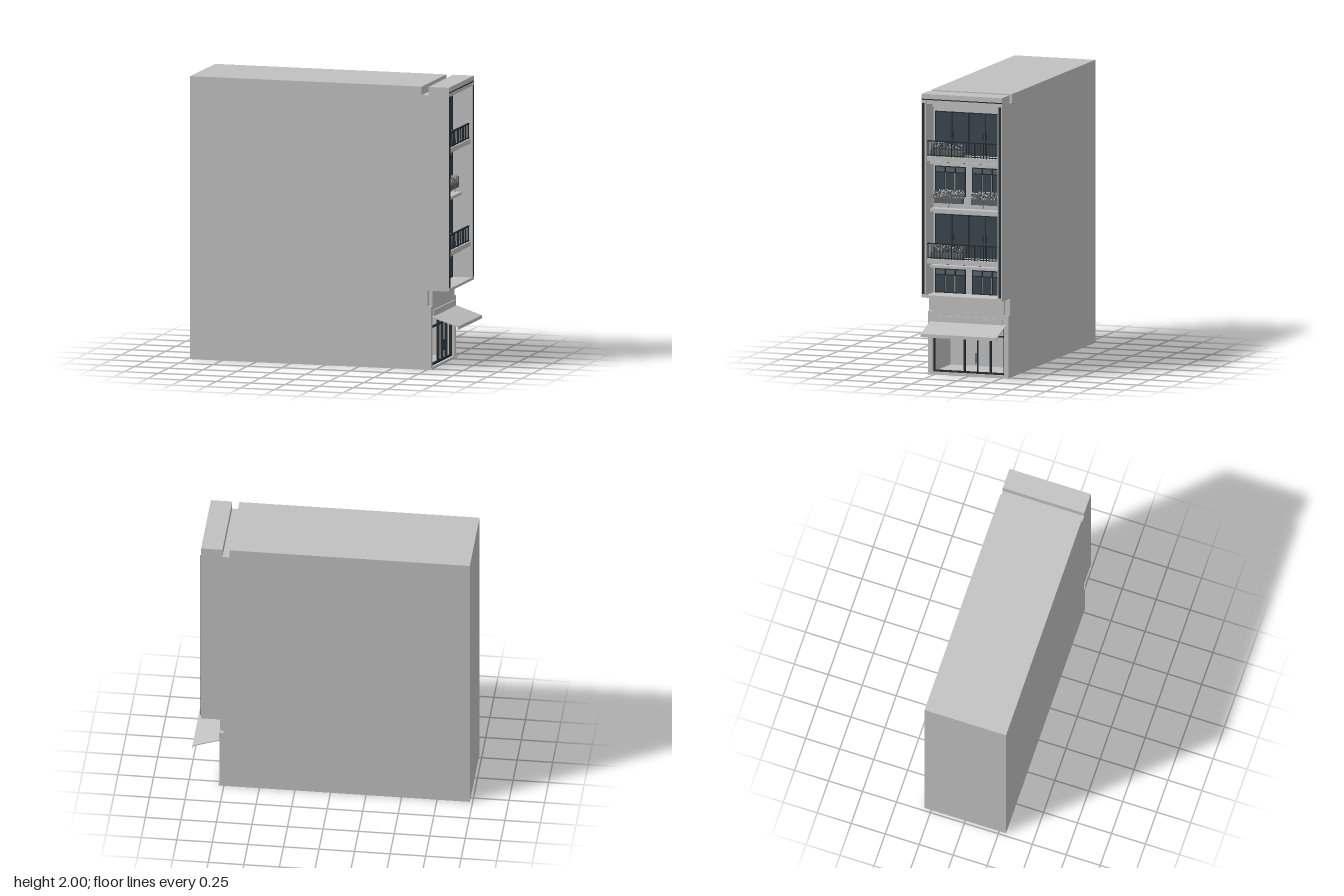
import * as THREE from 'three';
import { mergeGeometries } from 'three/addons/utils/BufferGeometryUtils.js';

const mat = (name, color) => {
  const m = new THREE.MeshStandardMaterial({ color });
  m.name = name;
  return m;
};

export function createModel() {
  const wall = mat('wall grey', 0xc0c0c0);
  const glass = mat('dark glass', 0x37444c);
  const transom = mat('transom glass', 0x59636a);
  const frame = mat('dark frame', 0x1f282d);
  const planter = mat('planter grey', 0x5c6064);
  const petal = mat('pale flower', 0xb4b4b0);

  const root = new THREE.Group();
  root.name = 'townhouse';
  let seed = 7;
  const rnd = () => (seed = (seed * 16807) % 2147483647) / 2147483647;

  // Box geometry from its limits on each axis
  const box = (x0, x1, y0, y1, z0, z1) =>
    new THREE.BoxGeometry(x1 - x0, y1 - y0, z1 - z0)
      .translate((x0 + x1) / 2, (y0 + y1) / 2, (z0 + z1) / 2);
  const add = (name, material, geos, parent = root) => {
    const mesh = new THREE.Mesh(geos.length > 1 ? mergeGeometries(geos) : geos[0], material);
    mesh.name = name;
    parent.add(mesh);
    return mesh;
  };
  const group = (name) => {
    const g = new THREE.Group();
    g.name = name;
    root.add(g);
    return g;
  };
  const slice = (pts, z0, z1) =>
    new THREE.ExtrudeGeometry(new THREE.Shape(pts.map((p) => new THREE.Vector2(...p))),
      { depth: z1 - z0, bevelEnabled: false }).translate(0, 0, z0);

  // Main shell: party walls on both sides, core with facade recess and shop room
  const side = [[-0.98, 0], [0.78, 0], [0.78, 0.445], [0.752, 0.445], [0.752, 0.56], [0.91, 0.56],
    [0.91, 2], [0.76, 2], [0.76, 1.94], [0.71, 1.94], [0.71, 2], [-0.98, 2]];
  const core = [[-0.98, 0], [0.78, 0], [0.78, 0.018], [0.42, 0.018], [0.42, 0.36], [0.78, 0.36],
    [0.78, 0.56], [0.91, 0.56], [0.91, 0.578], [0.76, 0.578], [0.76, 1.93], [0.905, 1.93],
    [0.905, 1.963], [0.91, 1.963], [0.91, 2], [0.76, 2], [0.76, 1.94], [0.71, 1.94], [0.71, 2], [-0.98, 2]];
  add('shell', wall, [slice(side, 0.265, 0.3), slice(core, -0.265, 0.265), slice(side, -0.3, -0.265)]);
  add('plinth', wall, [-1, 1].map((s) => box(0.77, 0.787, 0, 0.014, s * 0.28 - 0.02, s * 0.28 + 0.02)));
  add('parapetLine', frame, [box(0.908, 0.912, 1.959, 1.966, -0.3, 0.3)]);
  add('edgeStrips', frame, [-1, 1].map((s) => box(0.907, 0.914, 0.585, 1.935, s * 0.285 - 0.009, s * 0.285 + 0.009)));

  // Balcony slabs and cornices across the recess
  add('balconySlabs', wall, [1.525, 0.8].map((y) => box(0.755, 0.895, y, y + 0.033, -0.265, 0.265)));
  add('cornices', wall, [[1.494, 1.512, 0.83], [1.16, 1.18, 0.83], [0.762, 0.78, 0.83], [1.895, 1.93, 0.78]]
    .map(([a, b, x]) => box(0.755, x, a, b, -0.265, 0.265)));
  const spots = [];
  for (const [y, x] of [[1.93, 0.84], [1.525, 0.86], [0.8, 0.86]])
    for (const z of [-0.12, 0, 0.12])
      spots.push(new THREE.CylinderGeometry(0.01, 0.01, 0.008, 12).translate(x, y - 0.003, z));
  add('ceilingSpots', frame, spots);

  // A small leafy row of flowers between two z limits
  const flowers = (parent, x, y, z0, z1, count, h) => {
    const heads = [], stems = [];
    for (let i = 0; i < count; i++) {
      const z = z0 + (z1 - z0) * rnd(), hy = h * (0.3 + 0.7 * rnd()), px = x + (rnd() - 0.5) * 0.035;
      heads.push(new THREE.IcosahedronGeometry(0.0035 + 0.003 * rnd(), 0).translate(px, y + hy, z));
      stems.push(box(px - 0.001, px + 0.001, y, y + hy, z - 0.001, z + 0.001));
    }
    add('flowerHeads', petal, heads, parent);
    add('flowerStems', planter, stems, parent);
  };

  // Two balcony floors: glazed doors, railing, planter
  for (const y of [1.558, 0.833]) {
    const g = group('balcony');
    const top = y + 0.304;
    add('doorGlass', glass, [box(0.758, 0.766, y, top, -0.25, 0.25)], g);
    const bars = [box(0.758, 0.772, top - 0.006, top, -0.25, 0.25)];
    for (const z of [-0.247, -0.125, 0, 0.125, 0.247]) bars.push(box(0.758, 0.771, y, top, z - 0.003, z + 0.003));
    for (const z of [-0.135, -0.11, 0.11, 0.135]) bars.push(box(0.771, 0.78, y + 0.12, y + 0.165, z - 0.002, z + 0.002));
    add('doorFrames', frame, bars, g);
    const rail = [box(0.876, 0.89, y + 0.105, y + 0.112, -0.265, 0.265), box(0.88, 0.887, y + 0.006, y + 0.012, -0.265, 0.265)];
    for (let i = 0; i <= 24; i++) {
      const z = -0.26 + (i * 0.52) / 24, w = i % 4 ? 0.0015 : 0.003;
      rail.push(box(0.882 - w, 0.882 + w, y, y + 0.107, z - w, z + w));
    }
    add('railing', frame, rail, g);
    add('planterBox', planter, [box(0.83, 0.872, y, y + 0.04, 0.005, 0.25)], g);
    flowers(g, 0.85, y + 0.038, 0.005, 0.25, 80, 0.062);
  }

  // Paired three-pane windows; the upper pair carries flower boxes
  for (const [y0, y1, boxed] of [[1.265, 1.475, true], [0.58, 0.75, false]]) {
    for (const s of [-1, 1]) {
      const g = group('window');
      const c = s * 0.1375, h = 0.1125, split = y1 - 0.042;
      add('paneGlass', glass, [box(0.758, 0.766, y0, split, c - h, c + h)], g);
      add('transomGlass', transom, [box(0.758, 0.766, split, y1, c - h, c + h)], g);
      const bars = [y0 + 0.003, split, y1 - 0.003].map((y) => box(0.758, 0.773, y - 0.003, y + 0.003, c - h, c + h));
      for (const z of [-h + 0.003, -0.0365, 0.0365, h - 0.003])
        bars.push(box(0.758, 0.772, y0, y1, c + z - 0.004, c + z + 0.004));
      add('windowFrame', frame, bars, g);
      add('paleBeads', wall, [-0.0365, 0.0365].map((z) => box(0.77, 0.774, y0 + 0.01, split - 0.004, c + z - 0.002, c + z + 0.002)), g);
      if (!boxed) continue;
      add('flowerBox', planter, [box(0.775, 0.82, 1.22, 1.256, c - 0.103, c + 0.103)], g);
      flowers(g, 0.8, 1.252, c - 0.11, c + 0.11, 85, 0.06);
      const vine = new THREE.CatmullRomCurve3([[0.815, 1.255, 0], [0.828, 1.24, 0.004], [0.826, 1.215, -0.004], [0.824, 1.195, 0.006]]
        .map(([x, y, z]) => new THREE.Vector3(x, y, c + z - s * 0.01)));
      add('vine', planter, [new THREE.TubeGeometry(vine, 10, 0.002, 5)], g);
    }
  }

  // Sloping awning with a drop lip, under a shallow box housing
  add('awningHousing', wall, [box(0.775, 0.79, 0.375, 0.418, -0.26, 0.26)]);
  add('awning', wall, [slice([[0.778, 0.37], [0.968, 0.307], [0.968, 0.29], [0.973, 0.29], [0.973, 0.313], [0.778, 0.377]], -0.283, 0.283)]);

  // Shopfront frame: posts, rails and door handles
  const shop = [box(0.74, 0.76, 0.018, 0.03, -0.262, 0.262), box(0.74, 0.76, 0.283, 0.291, -0.262, 0.262),
    box(0.74, 0.76, 0.352, 0.36, -0.262, 0.262)];
  for (const [z, w] of [[-0.261, 0.004], [0.261, 0.004], [0.037, 0.005], [-0.06, 0.003], [-0.158, 0.005]])
    shop.push(box(0.74, 0.76, 0.018, 0.36, z - w, z + w));
  for (const z of [-0.052, -0.068]) shop.push(box(0.762, 0.77, 0.09, 0.165, z - 0.002, z + 0.002));
  add('shopfrontFrame', frame, shop);

  return root;
}
